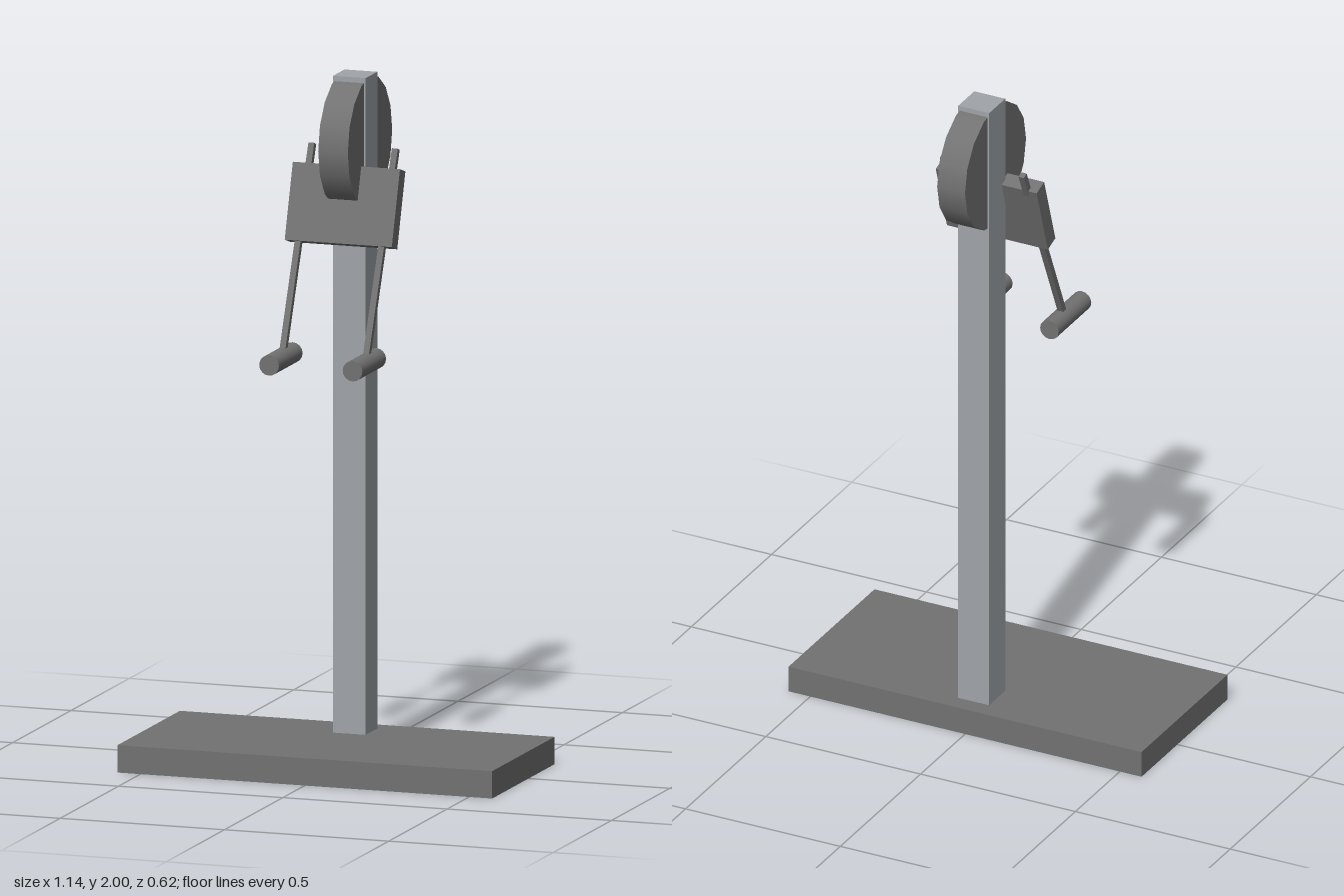
import * as THREE from 'three';

export function createModel() {
  const model = new THREE.Group();
  model.name = 'pulleyStand';

  const darkGrey = new THREE.MeshStandardMaterial({ color: 0x727272 });
  darkGrey.name = 'dark grey';
  const lightGrey = new THREE.MeshStandardMaterial({ color: 0xa0a5aa });
  lightGrey.name = 'light grey';

  const add = (name, geometry, material, x, y, z, tilt = 0) => {
    const mesh = new THREE.Mesh(geometry, material);
    mesh.name = name;
    mesh.position.set(x, y, z);
    mesh.rotation.x = tilt;
    model.add(mesh);
    return mesh;
  };

  // Base slab and upright post
  add('base', new THREE.BoxGeometry(1.14, 0.08, 0.535), darkGrey, 0, 0.04, 0.0445);
  add('post', new THREE.BoxGeometry(0.1, 1.92, 0.1), lightGrey, 0, 1.04, -0.119);

  // Wheel through the top of the post, axis along x
  const wheel = new THREE.CylinderGeometry(0.19, 0.19, 0.09, 16).rotateZ(Math.PI / 2);
  add('wheel', wheel, darkGrey, 0, 1.805, -0.12);

  // Plate leaning back against the wheel
  add('plate', new THREE.BoxGeometry(0.326, 0.226, 0.049), darkGrey,
    0, 1.631, -0.033, -THREE.MathUtils.degToRad(18));

  // A slanted rod with a round handle on each side
  const top = new THREE.Vector2(-0.11, 1.79); // z, y
  const bottom = new THREE.Vector2(0.143, 1.22);
  const length = top.distanceTo(bottom);
  const lean = -Math.atan2(bottom.x - top.x, top.y - bottom.y);
  for (const [side, s] of [['left', 1], ['right', -1]]) {
    add(side + 'Rod', new THREE.BoxGeometry(0.018, length, 0.018), darkGrey,
      s * 0.127, (top.y + bottom.y) / 2, (top.x + bottom.x) / 2, lean);
    add(side + 'Handle', new THREE.CylinderGeometry(0.03, 0.03, 0.203, 16), darkGrey,
      s * 0.127, 1.21, 0.159, Math.PI / 2);
  }

  return model;
}
